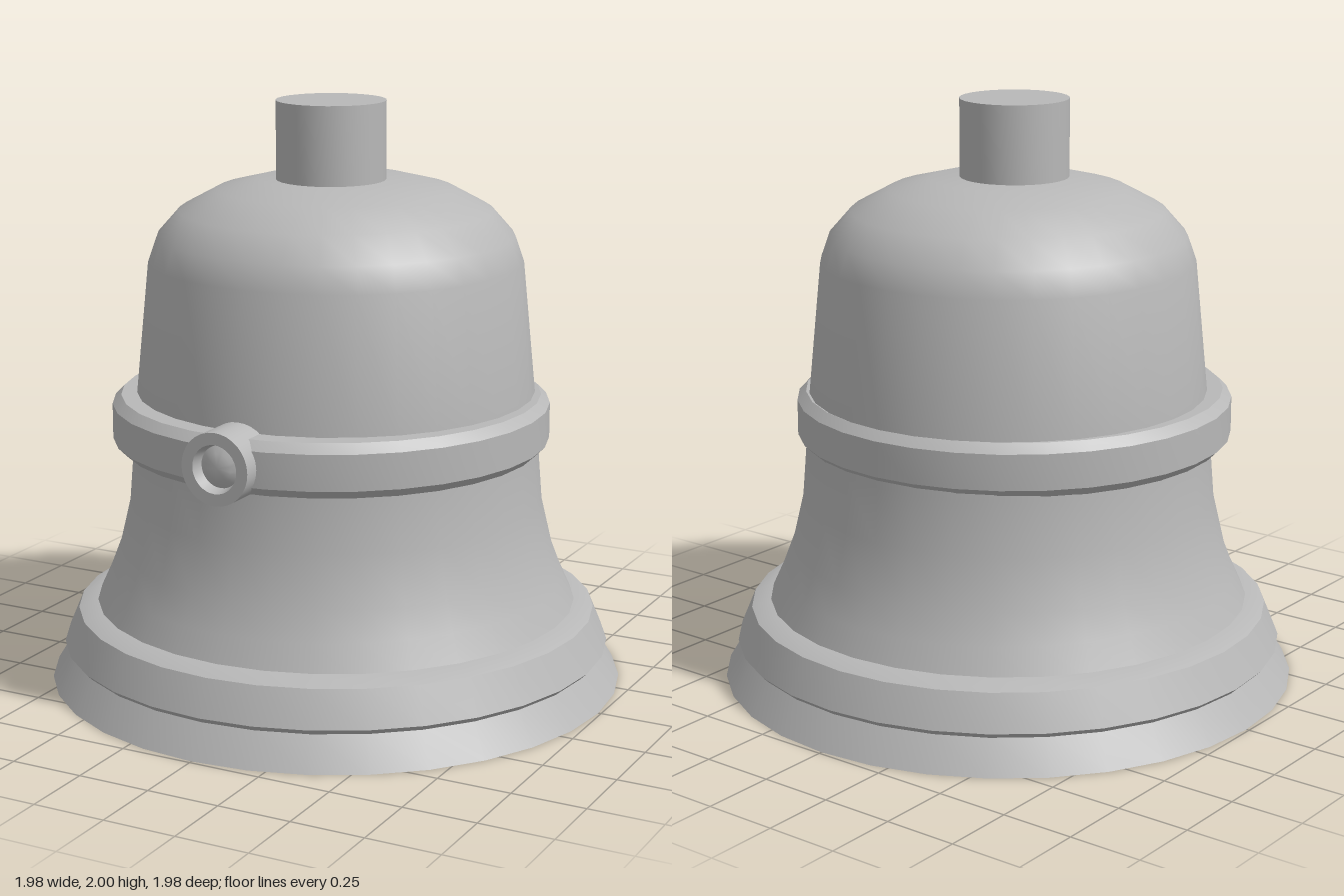
import * as THREE from 'three';
import { toCreasedNormals } from 'three/addons/utils/BufferGeometryUtils.js';

export function createModel() {
  const bell = new THREE.Group();
  bell.name = 'bell';
  const metal = new THREE.MeshStandardMaterial({ color: 0xb8b8b8 });
  metal.name = 'grey metal';

  // Turned part: [radius, height] pairs listed upwards along the outside
  const turned = (name, profile, sides = 32) => {
    const points = profile.map(([r, y]) => new THREE.Vector2(r, y));
    const geometry = toCreasedNormals(new THREE.LatheGeometry(points, sides), 0.5);
    const mesh = new THREE.Mesh(geometry, metal);
    mesh.name = name;
    bell.add(mesh);
    return mesh;
  };

  // Closed foot flaring out to the ground
  turned('foot', [[0, 0], [0.99, 0], [0.92, 0.115], [0.8, 0.115]]);

  // Moulded ring above the foot
  turned('lipRing', [[0.8, 0.11], [0.925, 0.11], [0.945, 0.13], [0.895, 0.25], [0.83, 0.275], [0.8, 0.275]]);

  // Waist, shoulder and dome
  turned('body', [
    [0.84, 0.25], [0.79, 0.36], [0.75, 0.465], [0.71, 0.635], [0.695, 0.82], [0.68, 1.01],
    [0.635, 1.46], [0.605, 1.545], [0.53, 1.63], [0.4, 1.7], [0.26, 1.735], [0, 1.738],
  ]);

  // Chamfered belt, set slightly forward
  const belt = turned('belt', [[0.6, 0.83], [0.715, 0.83], [0.745, 0.86], [0.745, 0.98], [0.715, 1.01], [0.6, 1.01]]);
  belt.position.z = 0.035;

  // Crown post
  const post = turned('crownPost', [[0, 1.6], [0.185, 1.6], [0.185, 2], [0, 2]]);
  post.position.z = 0.035;

  // Front stud with a recessed face and a small raised button
  const stud = turned('frontStud', [
    [0, 0], [0.12, 0], [0.12, 0.16], [0.08, 0.16], [0.07, 0.12], [0.045, 0.135], [0, 0.145],
  ]);
  stud.rotation.x = Math.PI / 2;
  stud.position.set(0, 0.92, 0.665);

  return bell;
}
